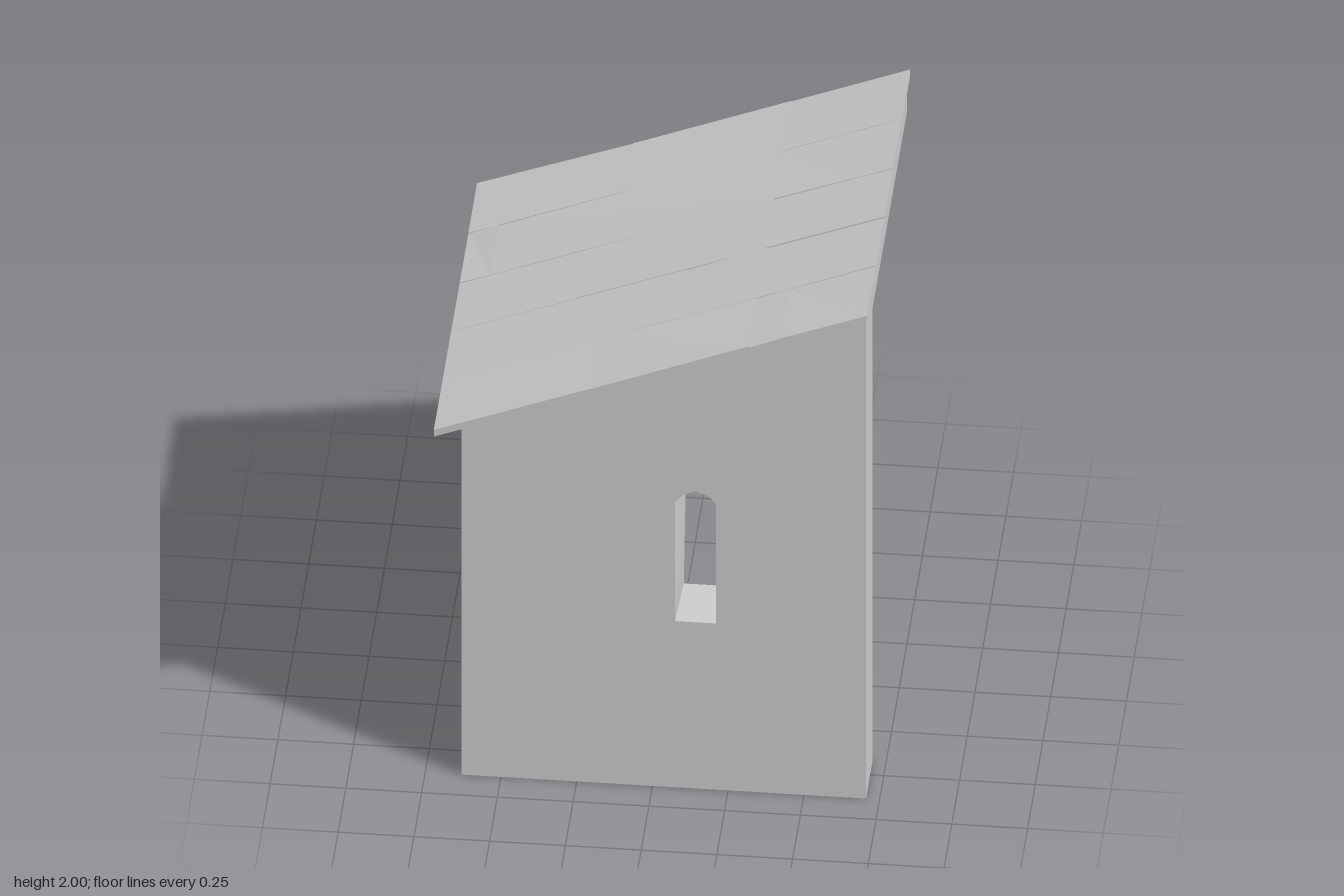
import * as THREE from 'three';

const material = new THREE.MeshStandardMaterial({ color: 0xcccccc, flatShading: true });

// height of the sloping wall top at x
const slope = (x) => 1.686 + 0.396 * x;

const makeShape = (points) => new THREE.Shape(points.map(([x, y]) => new THREE.Vector2(x, y)));

function extrude(shape, z0, z1) {
  const geometry = new THREE.ExtrudeGeometry(shape, { depth: z1 - z0, bevelEnabled: false });
  return geometry.translate(0, 0, z0);
}

function addMesh(group, name, geometry) {
  const mesh = new THREE.Mesh(geometry, material);
  mesh.name = name;
  group.add(mesh);
  return mesh;
}

export function createModel() {
  const group = new THREE.Group();
  group.name = 'leanToBuilding';

  const left = -0.63, right = 0.705, inner = -0.41;
  const front = 0.635, wallBack = 0.42, back = -0.7;
  const ceilingDrop = 0.138;

  // front wall with a narrow arched window
  const wall = makeShape([[left, 0], [right, 0], [right, slope(right)], [left, slope(left)]]);
  wall.holes.push(makeShape([
    [0.075, 0.67], [0.075, 1.15], [0.1, 1.18], [0.142, 1.198],
    [0.187, 1.18], [0.21, 1.15], [0.21, 0.67],
  ]));
  const wallGeometry = extrude(wall, wallBack, front);
  // the window narrows towards the inside, more so near its top
  const p = wallGeometry.attributes.position;
  for (let i = 0; i < p.count; i++) {
    const x = p.getX(i), y = p.getY(i);
    const onWindow = x > 0 && x < 0.3 && y > 0.6 && y < 1.25;
    if (onWindow && p.getZ(i) < wallBack + 0.01) {
      p.setX(i, 0.142 + (x - 0.142) * (y < 1 ? 0.9 : 0.78));
    }
  }
  wallGeometry.computeVertexNormals();
  addMesh(group, 'frontWall', wallGeometry);

  // side wall and ceiling in one profile, open at the back and on the high side
  addMesh(group, 'sideWallAndCeiling', extrude(makeShape([
    [left, 0], [inner, 0], [inner, slope(inner) - ceilingDrop],
    [right, slope(right) - ceilingDrop], [right, slope(right)], [left, slope(left)],
  ]), back, wallBack));

  // roof boards: five rows running down the slope, with staggered joints
  const roof = new THREE.Group();
  roof.name = 'roof';
  group.add(roof);
  const edge = 0.715;
  const rowWidth = 0.28;
  const joints = [
    [-0.2, 0.325],
    [-0.615, 0.325, 0.585],
    [-0.3, 0.22, 0.325],
    [0.065, 0.325],
    [-0.2, 0.325, 0.43],
  ];
  let seed = 7;
  const random = () => (seed = (seed * 16807) % 2147483647) / 2147483647;

  joints.forEach((row, r) => {
    const xs = [-edge, ...row, edge];
    const z0 = back + r * rowWidth;
    for (let i = 0; i < xs.length - 1; i++) {
      const [x0, x1] = [xs[i], xs[i + 1]];
      const geometry = extrude(makeShape([
        [x0, slope(x0)], [x1, slope(x1)], [x1, slope(x1) + 0.03], [x0, slope(x0) + 0.03],
      ]), z0, z0 + rowWidth);
      // each board sits a little unevenly: its four top corners are lowered by small amounts
      const drops = [0, 1, 2, 3].map(() => random() * 0.009);
      const q = geometry.attributes.position;
      for (let k = 0; k < q.count; k++) {
        const x = q.getX(k), y = q.getY(k);
        if (y < slope(x) + 0.015) continue;
        const corner = (x > (x0 + x1) / 2 ? 1 : 0) + (q.getZ(k) > z0 + rowWidth / 2 ? 2 : 0);
        q.setY(k, y - drops[corner]);
      }
      geometry.computeVertexNormals();
      addMesh(roof, 'roofBoard', geometry);
    }
  });

  return group;
}
